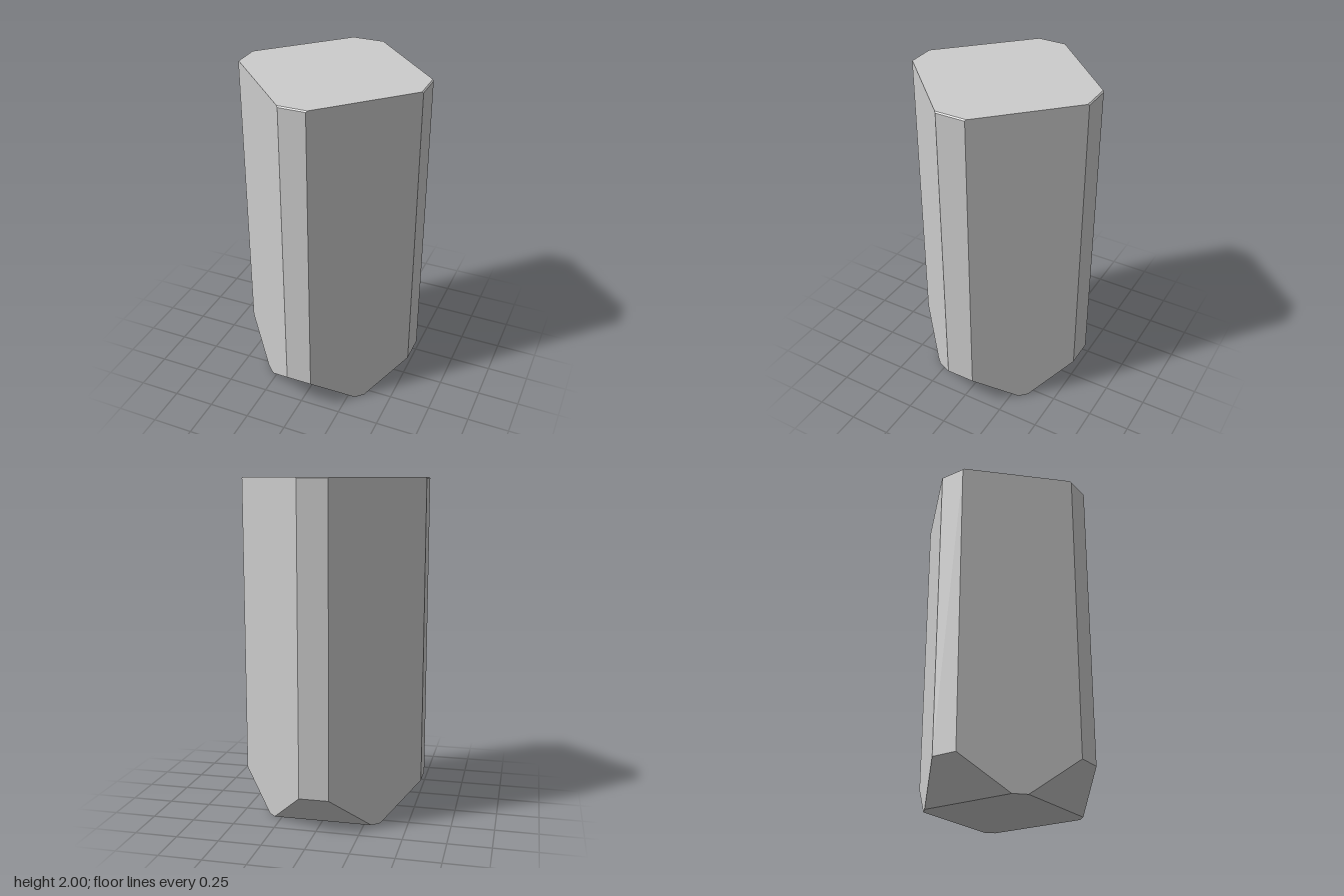
import * as THREE from 'three';

// Each level: height and distance of the four narrow faces from the axis
const LEVELS = [
  { y: 0, r: 0.34 },
  { y: 0.208, r: 0.548 },
  { y: 1.993, r: 0.548 },
  { y: 2, r: 0.541 },
];
// |x| + |z| on the four wide diagonal faces; one is cut slightly deeper
const DIAGONALS = [0.635, 0.635, 0.635, 0.617];

// Eight corners of one level, counter-clockwise from above, starting at +z
function ring({ y, r }) {
  const points = [];
  for (let k = 0; k < 4; k++) {
    const angle = (k * Math.PI) / 2;
    const nx = Math.sin(angle), nz = Math.cos(angle);
    const tx = nz, tz = -nx;
    const before = r - DIAGONALS[(k + 3) % 4];
    const after = DIAGONALS[k] - r;
    for (const s of [before, after]) points.push(nx * r + tx * s, y, nz * r + tz * s);
  }
  return points;
}

function prismGeometry() {
  const positions = LEVELS.flatMap(ring);
  const index = [];
  // Side faces between neighbouring levels
  for (let l = 0; l < LEVELS.length - 1; l++) {
    for (let i = 0; i < 8; i++) {
      const a = l * 8 + i, b = l * 8 + ((i + 1) % 8);
      index.push(a, b, b + 8, a, b + 8, a + 8);
    }
  }
  // Flat bottom and top
  const top = (LEVELS.length - 1) * 8;
  for (let i = 1; i < 7; i++) {
    index.push(0, i + 1, i);
    index.push(top, top + i, top + i + 1);
  }
  const indexed = new THREE.BufferGeometry();
  indexed.setAttribute('position', new THREE.Float32BufferAttribute(positions, 3));
  indexed.setIndex(index);
  const geometry = indexed.toNonIndexed();
  geometry.computeVertexNormals();
  return geometry;
}

export function createModel() {
  const group = new THREE.Group();
  group.name = 'chamferedPost';
  const material = new THREE.MeshStandardMaterial({ color: 0xcccccc, flatShading: true });
  const body = new THREE.Mesh(prismGeometry(), material);
  body.name = 'postBody';
  group.add(body);
  return group;
}
